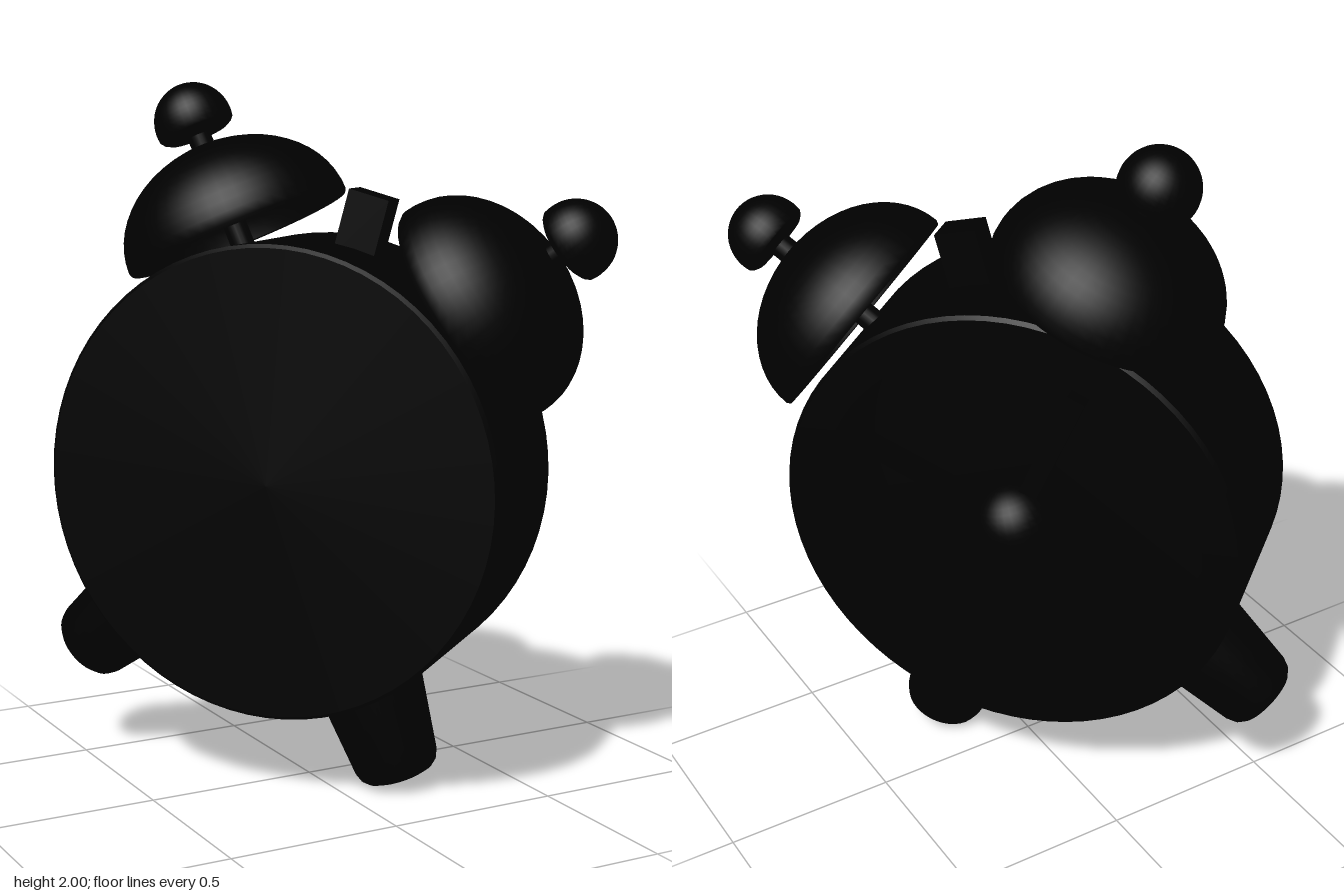
import * as THREE from 'three';
import { toCreasedNormals } from 'three/addons/utils/BufferGeometryUtils.js';

const deg = THREE.MathUtils.degToRad;
const black = new THREE.MeshStandardMaterial({ color: 0x000000 });
black.name = 'black';

function add(parent, name, geometry) {
  const mesh = new THREE.Mesh(geometry, black);
  mesh.name = name;
  parent.add(mesh);
  return mesh;
}

// Turned part: profile of [radius, height] pairs, hard edges kept sharp
function turned(profile, segments = 48) {
  const points = profile.map(([r, y]) => new THREE.Vector2(r, y));
  return toCreasedNormals(new THREE.LatheGeometry(points, segments), 0.6);
}

// Elliptical dome profile, from the rim at angle a0 to the apex at a1
function dome(radius, height, base, a0, a1, steps = 14) {
  return Array.from({ length: steps + 1 }, (_, i) => {
    const a = a0 + ((a1 - a0) * i) / steps;
    return [Math.max(0, radius * Math.cos(a)), base + height * Math.sin(a)];
  });
}

// Group pointing outwards, turned by an angle about the dial axis
function spoke(parent, name, angle) {
  const group = new THREE.Group();
  group.name = name;
  group.rotation.z = deg(angle);
  parent.add(group);
  return group;
}

export function createModel() {
  const model = new THREE.Group();
  model.name = 'alarmClock';

  // The clock leans on one foot, its dial turned to the back right
  const clock = new THREE.Group();
  clock.name = 'clock';
  clock.position.set(-0.02, 0.905, -0.016);
  clock.rotation.set(0, deg(130), deg(15.3));
  model.add(clock);

  // Drum-shaped case with a deep recess for the dial
  const body = turned([
    [0, -0.255], [0.655, -0.255], [0.665, -0.245], [0.665, 0.245], [0.655, 0.255],
    [0.555, 0.255], [0.555, -0.13], [0, -0.13],
  ], 72);
  add(clock, 'case', body).rotation.x = Math.PI / 2;

  // Hub and hands
  add(clock, 'hub', new THREE.SphereGeometry(0.12, 32, 20)).position.z = 0.193;
  for (const [name, angle] of [['minuteHand', -38], ['hourHand', 53]]) {
    const hand = add(spoke(clock, name, angle), name + 'Bar', new THREE.BoxGeometry(0.054, 0.47, 0.04));
    hand.position.set(0, 0.235, 0.2);
  }

  // Striker block between the bells
  add(clock, 'striker', new THREE.BoxGeometry(0.12, 0.19, 0.09)).position.set(0, 0.725, 0.012);

  const half = Math.PI / 2;
  const bellShape = turned([
    ...dome(0.308, 0.245, 0.69, half, 0),
    [0.326, 0.688],
    ...dome(0.332, 0.263, 0.699, 0, half),
  ]);
  const knobShape = turned([
    [0, 0.993], [0.085, 0.993], [0.102, 1.002],
    ...dome(0.1125, 0.113, 1.034, -0.2, half),
  ], 32);
  const legShape = turned([
    [0, -0.93], [0.07, -0.93], [0.095, -0.922], [0.113, -0.906], [0.123, -0.88],
    [0.158, -0.6], [0, -0.6],
  ], 36);

  for (const [side, sign] of [['right', 1], ['left', -1]]) {
    // Hollow bell on a post, topped by a small knob
    const bell = spoke(clock, side + 'Bell', -39 * sign);
    bell.position.set(-0.07 * sign, 0.057, 0.015);
    add(bell, 'bellDome', bellShape);
    add(bell, 'bellKnob', knobShape);
    add(bell, 'bellPost', new THREE.CylinderGeometry(0.034, 0.034, 0.5, 20)).position.y = 0.755;

    // Tapered foot with a rounded tip
    const leg = spoke(clock, side + 'Leg', 34.8 * sign);
    leg.position.z = 0.006;
    add(leg, 'foot', legShape);
  }

  return model;
}
